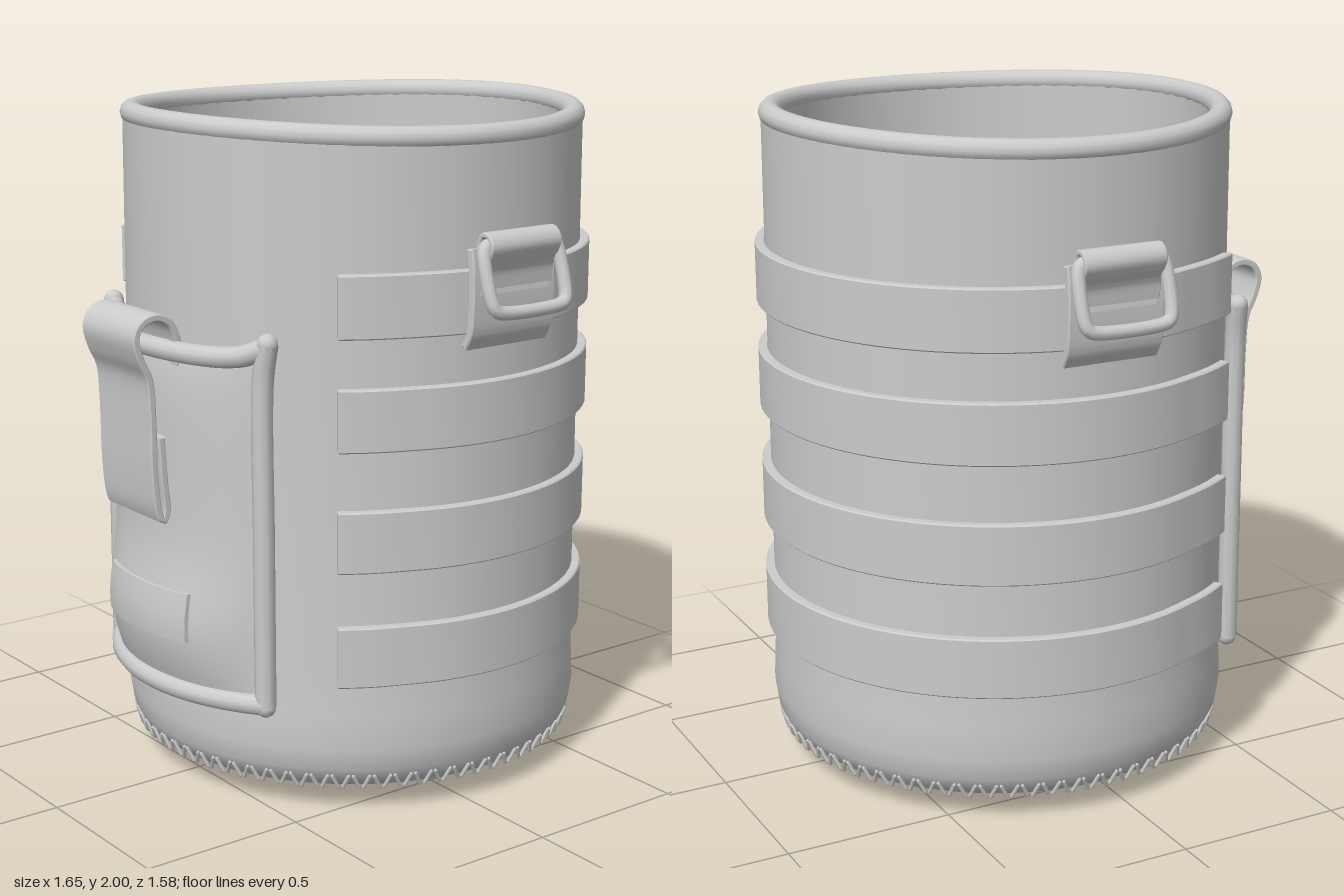
import * as THREE from 'three';
import { mergeGeometries, toCreasedNormals } from 'three/addons/utils/BufferGeometryUtils.js';

const CZ = -0.08; // barrel axis in z
const R = 0.69;
const mat = new THREE.MeshStandardMaterial({ color: 0xcccccc });
const matDouble = new THREE.MeshStandardMaterial({ color: 0xcccccc, side: THREE.DoubleSide });

function add(parent, name, geometry, material = mat) {
  const mesh = new THREE.Mesh(geometry, material);
  mesh.name = name;
  parent.add(mesh);
  return mesh;
}

const curveOf = (pts, closed = false) =>
  new THREE.CatmullRomCurve3(pts.map(([x, y, z = 0]) => new THREE.Vector3(x, y, z)), closed, 'centripetal');

// Strip of cloth: a path in the xy plane, given thickness, extruded along z
function ribbon(pts, thickness, width, steps = 40) {
  const curve = curveOf(pts);
  const a = [], b = [];
  for (let i = 0; i <= steps; i++) {
    const p = curve.getPointAt(i / steps), t = curve.getTangentAt(i / steps);
    const nx = -t.y * thickness / 2, ny = t.x * thickness / 2;
    a.push(new THREE.Vector2(p.x + nx, p.y + ny));
    b.unshift(new THREE.Vector2(p.x - nx, p.y - ny));
  }
  const bevel = 0.004;
  const geo = new THREE.ExtrudeGeometry(new THREE.Shape([...a, ...b]), {
    depth: width - 2 * bevel, bevelThickness: bevel, bevelSize: bevel, bevelOffset: -bevel, bevelSegments: 1,
  });
  geo.translate(0, 0, bevel - width / 2);
  return toCreasedNormals(geo, 0.6);
}

const barrelZ = (x) => CZ + Math.sqrt(R * R - x * x);

// Front surface of the stuffed pocket
function pocketZ(x, y) {
  const u = Math.min(1, Math.abs(x) / 0.38), v = Math.min(1, Math.abs(y - 0.84) / 0.5);
  const belly = 0.02 * (1 - v ** 8) + 0.038 * Math.exp(-(((y - 0.53) / 0.17) ** 2));
  return barrelZ(x) + 0.035 + (1 - u ** 4) * belly;
}

function drape(geo) {
  const p = geo.attributes.position;
  for (let i = 0; i < p.count; i++) p.setZ(i, p.getZ(i) + pocketZ(p.getX(i), p.getY(i)));
  geo.computeVertexNormals();
  return geo;
}

function buildBarrel(root) {
  // Hollow wall with inner floor and rounded bottom edge
  const profile = [
    [0, 0.06], [0.6, 0.06], [0.64, 0.07], [0.67, 0.095], [0.69, 0.135], [0.7, 0.2], [0.695, 0.3],
    [0.69, 0.42], [0.688, 1.2], [0.685, 1.96], [0.63, 1.96], [0.63, 0.12], [0, 0.12],
  ].map(([x, y]) => new THREE.Vector2(x, y));
  add(root, 'barrelBody', toCreasedNormals(new THREE.LatheGeometry(profile, 64), 0.7)).position.z = CZ;

  // Rolled rim, dipping gently at both sides
  const rim = [];
  for (let i = 0; i < 32; i++) {
    const t = (i / 32) * Math.PI * 2;
    rim.push([0.659 * Math.sin(t), 1.958 + 0.01 * Math.cos(2 * t), 0.659 * Math.cos(t)]);
  }
  add(root, 'rim', new THREE.TubeGeometry(curveOf(rim, true), 96, 0.033, 12, true)).position.z = CZ;

  // Base plates
  add(root, 'basePlate', new THREE.CylinderGeometry(0.6, 0.59, 0.02, 64)).position.set(0, 0.06, CZ);
  add(root, 'foot', new THREE.CylinderGeometry(0.425, 0.42, 0.055, 64)).position.set(0, 0.0275, CZ);

  // Zigzag stitching round the bottom edge
  const stitches = [];
  const count = 140;
  for (let i = 0; i < count; i++) {
    const s = new THREE.CapsuleGeometry(0.006, 0.042, 2, 5);
    s.rotateZ(i % 2 ? 0.4 : -0.4);
    s.rotateX(0.3);
    s.translate(0, 0.094, 0.677);
    s.rotateY((i / count) * Math.PI * 2);
    stitches.push(s);
  }
  add(root, 'bottomStitching', mergeGeometries(stitches)).position.z = CZ;
}

function buildBands(root) {
  // Four bands wrapped round the sides and back, ends lifting slightly
  const start = 0.865, pts = [];
  for (let i = 0; i <= 48; i++) {
    const k = i / 48, a = start + k * 2 * (Math.PI - start);
    const end = Math.max(0, 1 - Math.min(k, 1 - k) / 0.06);
    const r = 0.7 + 0.017 * end;
    pts.push([r * Math.sin(a), r * Math.cos(a)]);
  }
  const geo = ribbon(pts, 0.03, 0.18, 80).rotateX(Math.PI / 2);
  for (const y of [0.49, 0.83, 1.18, 1.5]) add(root, 'band', geo).position.set(0, y, CZ);
}

function buildPocket(root) {
  const pocket = new THREE.Group();
  pocket.name = 'frontPocket';
  root.add(pocket);

  add(pocket, 'pocketPanel', drape(new THREE.PlaneGeometry(0.77, 1.02, 32, 40).translate(0, 0.835, 0)), matDouble);
  add(pocket, 'pocketLabel', toCreasedNormals(drape(new THREE.BoxGeometry(0.41, 0.145, 0.025, 16, 6, 1).translate(0, 0.57, 0)), 0.6));

  // Piping: two posts with horned tops, joined by curved bars
  for (const s of [-1, 1]) {
    const post = curveOf([[0.39, 0.325, 0.525], [0.388, 0.8, 0.525], [0.388, 1.28, 0.525], [0.405, 1.39, 0.52]]
      .map(([x, y, z]) => [s * x, y, z]));
    add(pocket, 'pocketPost', new THREE.TubeGeometry(post, 32, 0.031, 10));
    for (const t of [0, 1]) add(pocket, 'pocketPostEnd', new THREE.SphereGeometry(0.031, 10, 8)).position.copy(post.getPoint(t));
  }
  for (const [y, lift] of [[0.33, 0], [1.34, 0.035]]) {
    const bar = [];
    for (let i = -8; i <= 8; i++) {
      const x = i * 0.049, u = Math.abs(i) / 8;
      bar.push([x, y + lift * u ** 8, barrelZ(x) + 0.05 - 0.014 * u ** 2]);
    }
    add(pocket, 'pocketBar', new THREE.TubeGeometry(curveOf(bar), 40, 0.031, 10));
  }

  // Closing strap: loops over the top bar and hangs down the front
  const strap = ribbon([
    [0.635, 1.3], [0.64, 1.37], [0.665, 1.425], [0.71, 1.445], [0.755, 1.43], [0.776, 1.39],
    [0.762, 1.33], [0.735, 1.27], [0.726, 1.15], [0.724, 1.0], [0.712, 0.88], [0.698, 0.85],
    [0.685, 0.87], [0.692, 0.97], [0.7, 1.1],
  ], 0.022, 0.28, 90).rotateY(-Math.PI / 2);
  add(pocket, 'pocketStrap', strap);
}

function buildRings(root) {
  // Side tabs with hanging rings; the right one is the left turned half round
  const patch = ribbon([[0.69, 1.37], [0.712, 1.41], [0.72, 1.47], [0.72, 1.58], [0.712, 1.65]], 0.024, 0.3);
  const curl = ribbon([
    [0.728, 1.52], [0.718, 1.6], [0.718, 1.655], [0.735, 1.688], [0.76, 1.686],
    [0.776, 1.66], [0.765, 1.63], [0.745, 1.59], [0.738, 1.54],
  ], 0.016, 0.255);
  const w = 0.135, h = 0.095, c = 0.03;
  const outline = [];
  for (const [sz, sy] of [[1, 1], [1, -1], [-1, -1], [-1, 1]]) {
    const corner = [[0, sy * h, sz * (w - c)], [0, sy * (h - c * 0.3), sz * (w - c * 0.3)], [0, sy * (h - c), sz * w]];
    outline.push(...(sz * sy > 0 ? corner : corner.reverse()));
  }
  const ringGeo = new THREE.TubeGeometry(curveOf(outline, true), 72, 0.02, 10, true);
  for (const side of ['left', 'right']) {
    const g = new THREE.Group();
    g.name = side + 'RingTab';
    g.position.z = -0.09;
    g.rotation.y = side === 'left' ? 0 : Math.PI;
    add(g, 'tabPatch', patch);
    add(g, 'tabLoop', curl);
    const ring = add(g, 'ring', ringGeo);
    ring.position.set(0.774, 1.572, 0);
    ring.rotation.z = 0.3;
    root.add(g);
  }
}

export function createModel() {
  const root = new THREE.Group();
  root.name = 'barrelBag';
  buildBarrel(root);
  buildBands(root);
  buildPocket(root);
  buildRings(root);
  return root;
}
